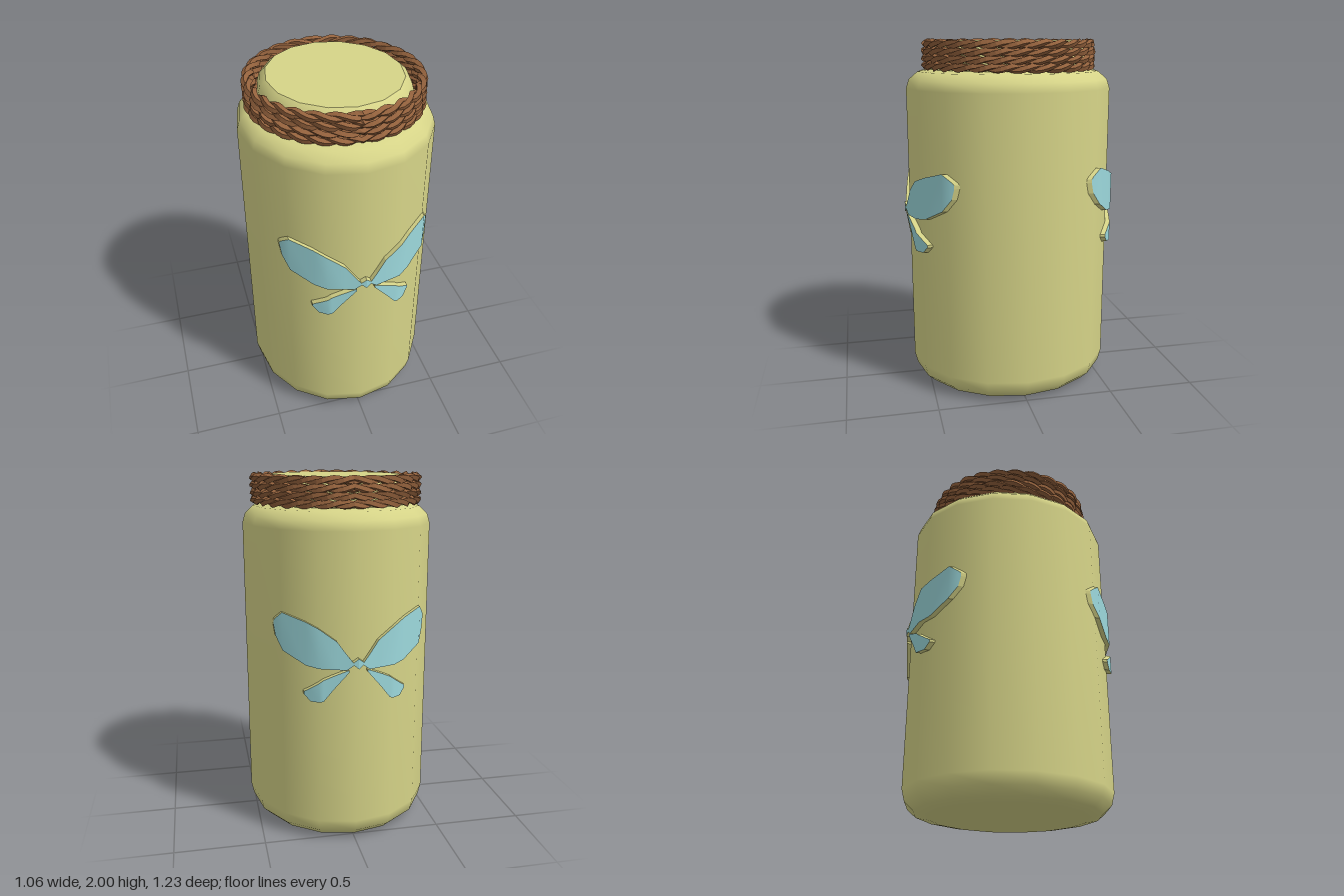
import * as THREE from 'three';

const RX = 0.53, RZ = 0.585, SIDES = 16;

// z of the faceted jar wall in front of a given x
function wallZ(x) {
  for (let i = 0; i < SIDES / 4; i++) {
    const a = (i * 2 * Math.PI) / SIDES, b = ((i + 1) * 2 * Math.PI) / SIDES;
    const x0 = RX * Math.sin(a), x1 = RX * Math.sin(b);
    if (x <= x1) return THREE.MathUtils.lerp(RZ * Math.cos(a), RZ * Math.cos(b), (x - x0) / (x1 - x0));
  }
  return 0;
}

// Plate that hugs the wall, from columns [x, low y, high y]: a face (group 0) and a rim (group 1)
function platePart(columns, side, materials) {
  const pos = [], index = [];
  const out = 0.03, back = -0.015;
  const add = (x, y, off) => pos.push(side * x, y, wallZ(x) + off) / 3 - 1;
  const quad = (a, b, c, d) => index.push(...(side > 0 ? [a, b, c, a, c, d] : [a, c, b, a, d, c]));

  const face = columns.map(([x, lo, hi]) => [add(x, lo, out), add(x, hi, out)]);
  for (let i = 0; i + 1 < face.length; i++) quad(face[i][0], face[i + 1][0], face[i + 1][1], face[i][1]);
  const faceCount = index.length;

  const loop = [
    ...columns.map(([x, lo]) => [x, lo]),
    ...columns.map(([x, , hi]) => [x, hi]).reverse(),
  ];
  loop.forEach(([x, y], i) => {
    const [nx, ny] = loop[(i + 1) % loop.length];
    quad(add(x, y, back), add(nx, ny, back), add(nx, ny, out), add(x, y, out));
  });

  const geo = new THREE.BufferGeometry();
  geo.setAttribute('position', new THREE.Float32BufferAttribute(pos, 3));
  geo.setIndex(index);
  geo.addGroup(0, faceCount, 0);
  geo.addGroup(faceCount, index.length - faceCount, 1);
  geo.computeVertexNormals();
  return new THREE.Mesh(geo, materials);
}

// One strand twisted around a rope ring; the twist mirrors between left and right
class StrandCurve extends THREE.Curve {
  constructor(rx, rz, y, phase) {
    super();
    Object.assign(this, { rx, rz, y, phase });
  }
  getPoint(t, target = new THREE.Vector3()) {
    const a = t * Math.PI * 2;
    const twist = Math.min(t, 1 - t) * Math.PI * 2 * 14 + this.phase;
    const r = 0.015 * Math.cos(twist);
    return target.set(
      (this.rx + r) * Math.sin(a),
      this.y + 0.011 * Math.sin(twist),
      (this.rz + r) * Math.cos(a));
  }
}

export function createModel() {
  const model = new THREE.Group();
  const jarMat = new THREE.MeshStandardMaterial({ color: 0xd6d488 });
  const ropeMat = new THREE.MeshStandardMaterial({ color: 0x94623d });
  const wingMat = new THREE.MeshStandardMaterial({ color: 0x9cd8dc });
  jarMat.name = 'paleYellowGreen';
  ropeMat.name = 'ropeBrown';
  wingMat.name = 'lightBlue';

  const lathe = (name, points) => {
    const geo = new THREE.LatheGeometry(points.map(([x, y]) => new THREE.Vector2(x, y)), SIDES);
    const mesh = new THREE.Mesh(geo, jarMat);
    mesh.name = name;
    mesh.scale.z = RZ / RX;
    model.add(mesh);
  };

  // Jar body, neck and flat lid
  lathe('jarBody', [[0, 0.005], [0.4, 0.005], [0.47, 0.02], [0.515, 0.065], [RX, 0.13],
    [RX, 0.9], [RX, 1.73], [0.515, 1.78], [0.47, 1.822], [0.4, 1.835]]);
  lathe('jarNeck', [[0.41, 1.825], [0.41, 1.91], [0.395, 1.96], [0.362, 1.99]]);
  lathe('lidTop', [[0.362, 1.99], [0, 1.99]]);

  // Rope wound four times around the neck
  const rope = new THREE.Group();
  rope.name = 'rope';
  for (let i = 0; i < 4; i++) {
    for (let s = 0; s < 2; s++) {
      const curve = new StrandCurve(0.453, 0.465 - (i === 3 ? 0.006 : 0), 1.854 + i * 0.0395, s * Math.PI + i * 0.5);
      const geo = new THREE.TubeGeometry(curve, 112, 0.0175, 4, true).toNonIndexed();
      geo.computeVertexNormals();
      const strand = new THREE.Mesh(geo, ropeMat);
      strand.name = 'ropeStrand';
      rope.add(strand);
    }
  }
  model.add(rope);

  // Butterflies on the front and back
  const parts = {
    butterflyBody: [[0, 1.025, 1.08], [0.032, 1.05, 1.055]],
    upperWing: [[0.025, 1.045, 1.055], [0.06, 1.018, 1.1], [0.11, 1.02, 1.17], [0.2028, 1.025, 1.238],
      [0.265, 1.035, 1.268], [0.3748, 1.1, 1.305], [0.405, 1.17, 1.265], [0.413, 1.23, 1.25]],
    lowerWing: [[0.05, 1.005, 1.018], [0.13, 0.91, 0.985], [0.18, 0.845, 0.962], [0.2028, 0.84, 0.945],
      [0.245, 0.84, 0.912], [0.275, 0.875, 0.89]],
  };
  for (const [name, turn] of [['frontButterfly', 0], ['backButterfly', Math.PI]]) {
    const butterfly = new THREE.Group();
    butterfly.name = name;
    butterfly.rotation.y = turn;
    for (const side of [1, -1]) {
      for (const [part, columns] of Object.entries(parts)) {
        const mesh = platePart(columns, side, [wingMat, jarMat]);
        mesh.name = part;
        butterfly.add(mesh);
      }
    }
    model.add(butterfly);
  }
  return model;
}
